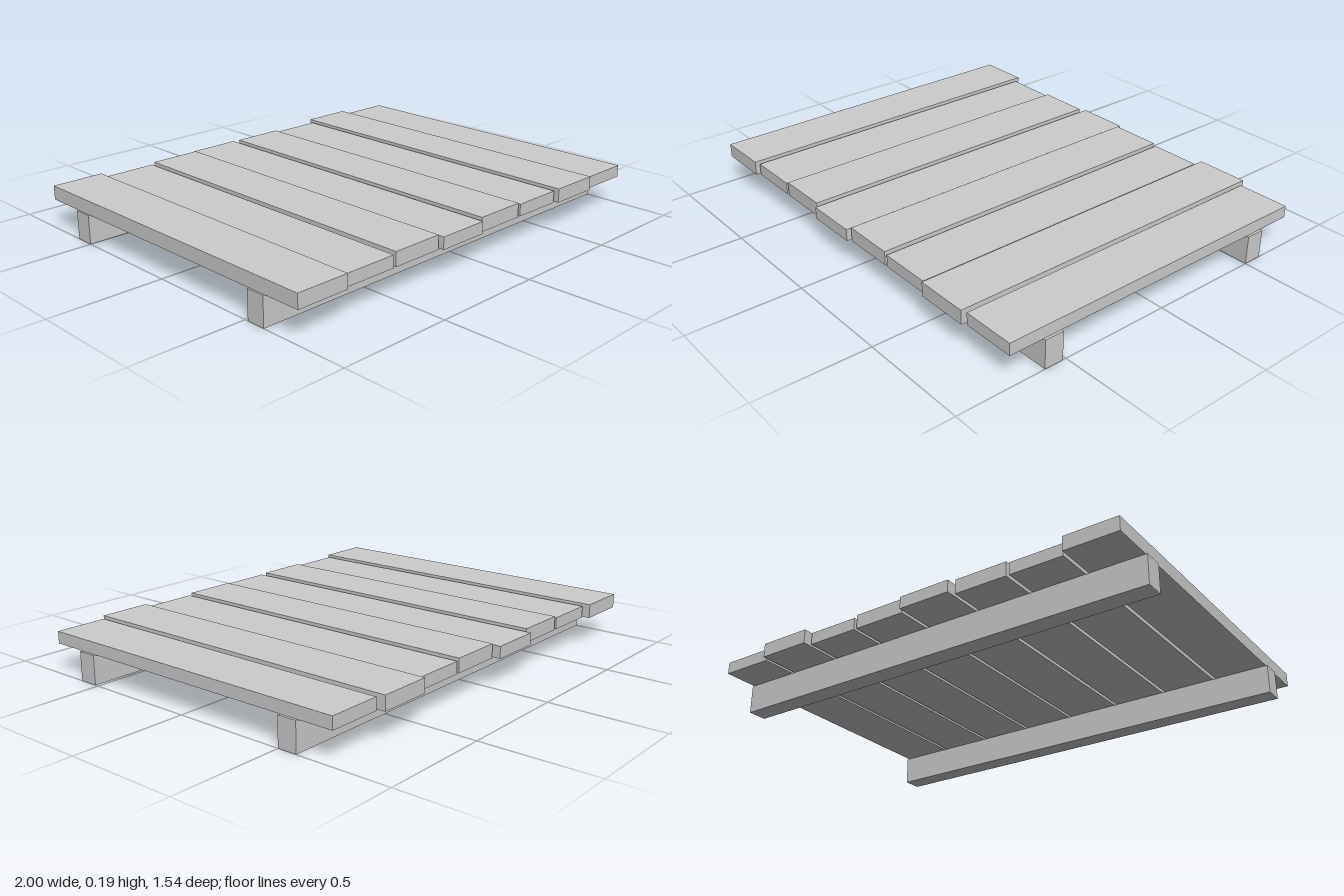
import * as THREE from 'three';

export function createModel() {
  const group = new THREE.Group();
  const grey = new THREE.MeshStandardMaterial({ color: 0xcccccc });
  grey.name = 'light grey';

  function addBox(name, [x0, x1], [y0, y1], [z0, z1]) {
    const mesh = new THREE.Mesh(new THREE.BoxGeometry(x1 - x0, y1 - y0, z1 - z0), grey);
    mesh.position.set((x0 + x1) / 2, (y0 + y1) / 2, (z0 + z1) / 2);
    mesh.name = name;
    group.add(mesh);
  }

  const railTop = 0.127;

  // Two supporting rails
  addBox('frontRail', [-1, 1], [0, railTop], [0.515, 0.601]);
  addBox('backRail', [-1, 1], [0, railTop], [-0.586, -0.5]);

  // Eight planks: every second one is thicker, every third one is longer
  const width = 0.236, pitch = 0.2495;
  for (let i = 0; i < 8; i++) {
    const x = -0.993 + i * pitch;
    const top = i % 2 === 0 ? 0.189 : 0.18;
    const span = i % 3 === 0 ? [-0.772, 0.772] : [-0.743, 0.757];
    addBox(`plank${i + 1}`, [x, x + width], [railTop, top], span);
  }

  return group;
}
